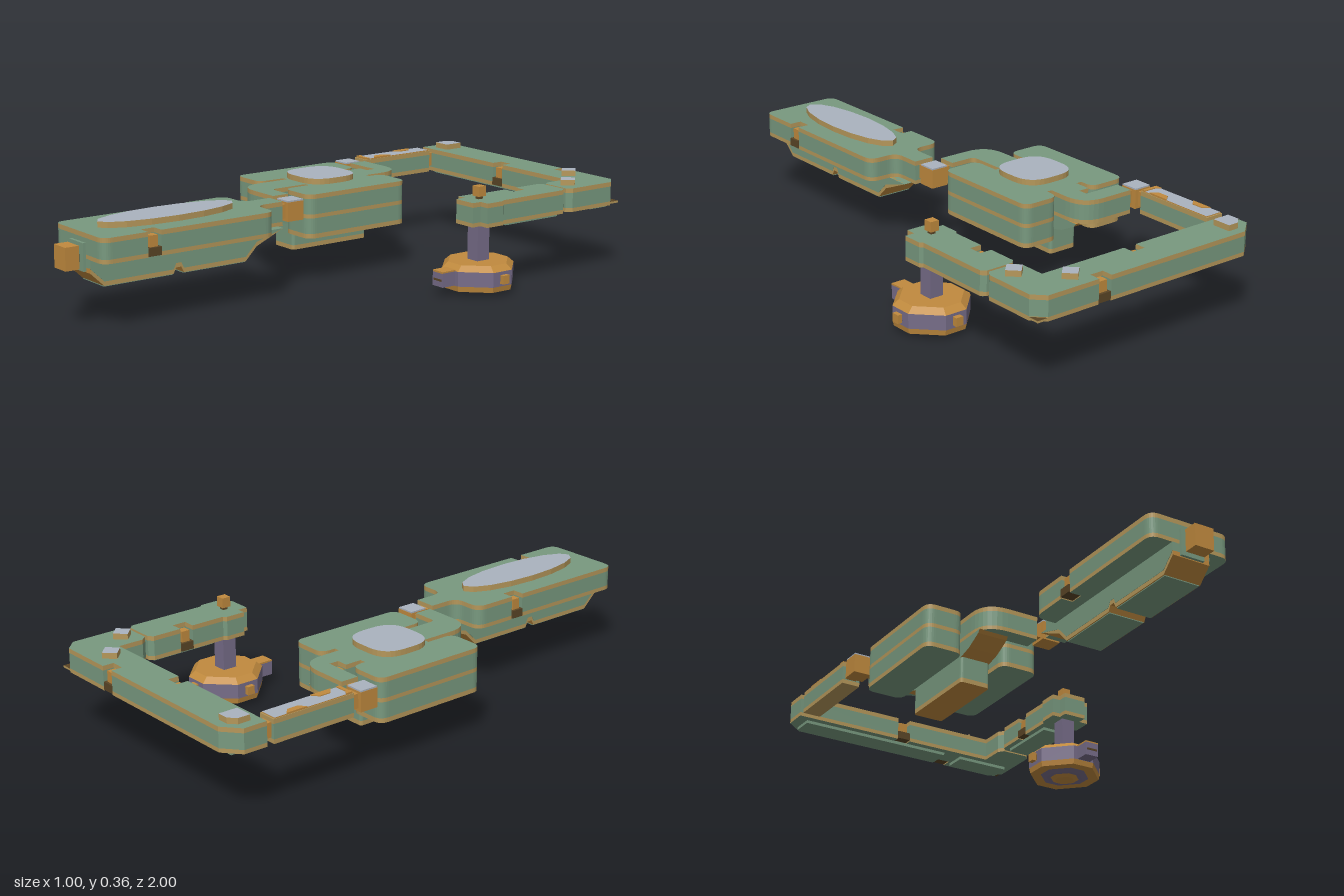
import * as THREE from 'three';

const mat = (name, color) => Object.assign(new THREE.MeshStandardMaterial({ color }), { name });
const green = mat('sage green', 0x78997f);
const tan = mat('tan trim', 0xb5975a);
const gold = mat('ochre gold', 0xc08a3e);
const grey = mat('blue grey', 0xaab2be);
const purple = mat('dusty purple', 0x766c88);
const dark = mat('dark brown', 0x5a4526);

export function createModel() {
  const root = new THREE.Group();
  root.name = 'linkedArm';
  const TOP = 0.315;

  const add = (name, geo, material, x = 0, y = 0, z = 0, parent = root) => {
    const m = new THREE.Mesh(geo, material);
    m.name = name;
    m.position.set(x, y, z);
    parent.add(m);
    return m;
  };

  // Box from its limits
  const box = (name, x0, x1, y0, y1, z0, z1, material) =>
    add(name, new THREE.BoxGeometry(x1 - x0, y1 - y0, z1 - z0), material,
      (x0 + x1) / 2, (y0 + y1) / 2, (z0 + z1) / 2);

  // Plan outline from [x, z, cornerRadius] points
  const outline = (pts) => {
    const s = new THREE.Shape();
    const v = pts.map((p) => new THREE.Vector2(p[0], -p[1]));
    v.forEach((p, i) => {
      const r = pts[i][2] || 0;
      const toward = (q) => q.clone().sub(p).setLength(r).add(p);
      const a = toward(v[(i + v.length - 1) % v.length]);
      const b = toward(v[(i + 1) % v.length]);
      if (i === 0) s.moveTo(a.x, a.y); else s.lineTo(a.x, a.y);
      if (r) s.quadraticCurveTo(p.x, p.y, b.x, b.y);
    });
    s.closePath();
    return s;
  };
  const rect = (x0, x1, z0, z1, r) => [[x0, z0, r], [x1, z0, r], [x1, z1, r], [x0, z1, r]];

  // Flat layer standing between two heights, caps and sides coloured apart
  const layer = (name, shape, y0, y1, cap, side, parent) => {
    const g = new THREE.ExtrudeGeometry(shape, { depth: y1 - y0, bevelEnabled: false, curveSegments: 8 });
    return add(name, g.rotateX(-Math.PI / 2), [cap, side], 0, y0, 0, parent);
  };

  // Slab with trim bands; a deeper bottom gets its own trim
  const slab = (name, pts, bottom = 0.231, under = green, top = TOP) => {
    const g = new THREE.Group();
    g.name = name;
    root.add(g);
    const s = outline(pts);
    if (top === TOP) {
      layer('topTrim', s, 0.299, TOP, green, tan, g);
      layer('upperWall', s, 0.245, 0.299, green, green, g);
      layer('middleTrim', s, 0.231, 0.245, green, tan, g);
      top = 0.231;
    }
    if (bottom < top) {
      layer('lowerWall', s, bottom + 0.016, top, green, green, g);
      layer('bottomTrim', s, bottom, bottom + 0.016, under, tan, g);
    }
  };

  // Side profile of [z, y] points swept across x
  const prism = (name, x0, x1, pts, caps, sides) => {
    const s = new THREE.Shape(pts.map((p) => new THREE.Vector2(p[0], p[1])));
    const g = new THREE.ExtrudeGeometry(s, { depth: x1 - x0, bevelEnabled: false });
    add(name, g.rotateY(-Math.PI / 2), [caps, sides], x1);
  };

  // Small latch sitting in a notch
  const latch = (x, z) => {
    box('latchSocket', x - 0.024, x + 0.024, 0.234, 0.262, z - 0.024, z + 0.024, dark);
    box('latch', x - 0.015, x + 0.015, 0.25, 0.3, z - 0.015, z + 0.015, gold);
  };

  // Front block with side notches and a flared neck
  slab('frontBlock', [
    [-0.2, 0.93, 0.035], [-0.2, 0.48], [-0.157, 0.48], [-0.157, 0.43], [-0.2, 0.43],
    [-0.2, 0.27, 0.04], [-0.088, 0.27, 0.04], [-0.088, 0.16], [-0.012, 0.16], [-0.012, 0.27, 0.04],
    [0.1, 0.27, 0.04], [0.1, 0.715], [0.057, 0.715], [0.057, 0.765], [0.1, 0.765], [0.1, 0.93, 0.035],
  ]);
  latch(-0.18, 0.455);
  latch(0.08, 0.74);
  const keel = (d) => [[0.93, 0.232], [0.93, 0.187 + d], [0.88, 0.14 + d], [0.62, 0.14 + d], [0.61, 0.16 + d],
    [0.59, 0.16 + d], [0.58, 0.14 + d], [0.335, 0.14 + d], [0.29, 0.185 + d], [0.18, 0.232]];
  prism('keelTrim', -0.119, 0.019, keel(0), tan, gold);
  prism('keel', -0.12, 0.02, keel(0.015), green, green);
  box('keelPlate', -0.115, 0.015, 0.137, 0.141, 0.62, 0.88, green);
  box('keelPlate', -0.115, 0.015, 0.137, 0.141, 0.335, 0.58, green);
  box('noseFrame', -0.092, -0.006, 0.19, 0.283, 0.92, 0.94, green);
  box('noseNeck', -0.07, -0.03, 0.21, 0.265, 0.93, 0.96, dark);
  box('nose', -0.084, -0.014, 0.198, 0.275, 0.95, 1, gold);

  // Middle block: two side columns, a web and an S-shaped link through them
  slab('leftColumn', rect(-0.18, -0.04, -0.4, 0.03, 0.035), 0.16);
  slab('rightColumn', rect(-0.472, -0.332, -0.4, 0.03, 0.035), 0.16);
  slab('web', rect(-0.34, -0.17, -0.345, -0.075, 0));
  slab('sLink', [
    [-0.41, -0.505], [-0.2, -0.505, 0.09], [-0.2, 0.07, 0.02], [-0.105, 0.07], [-0.105, 0.133],
    [-0.31, 0.133, 0.09], [-0.31, -0.405], [-0.27, -0.405], [-0.27, -0.44], [-0.41, -0.44],
  ]);
  latch(-0.292, -0.426);
  latch(-0.222, 0.062);
  slab('lowerTank', rect(-0.31, -0.2, -0.345, -0.02, 0.012), 0.085, gold, 0.232);
  prism('frontRamp', -0.31, -0.2, [[-0.03, 0.232], [-0.03, 0.175], [0.03, 0.19], [0.09, 0.22], [0.1, 0.232]], green, gold);
  prism('backRamp', -0.31, -0.2, [[-0.335, 0.232], [-0.335, 0.175], [-0.4, 0.19], [-0.46, 0.22], [-0.47, 0.232]], green, gold);

  // Swivel joints between the blocks
  const joint = (x, z) => {
    box('joint', x - 0.033, x + 0.033, 0.24, 0.307, z - 0.033, z + 0.033, gold);
    box('jointCap', x - 0.032, x + 0.032, 0.306, 0.312, z - 0.032, z + 0.032, grey);
  };
  joint(-0.05, 0.102);
  joint(-0.468, -0.47);
  box('jointPin', -0.11, -0.08, 0.25, 0.3, 0.085, 0.12, gold);
  box('jointPin', -0.07, -0.03, 0.25, 0.3, 0.13, 0.165, gold);
  box('jointPin', -0.44, -0.405, 0.25, 0.3, -0.485, -0.455, gold);

  // Short side link with a patched top
  box('linkPin', -0.488, -0.448, 0.25, 0.3, -0.87, -0.5, gold);
  box('sideLink', -0.5, -0.433, 0.232, 0.247, -0.84, -0.53, tan);
  box('sideLinkWall', -0.5, -0.433, 0.247, 0.297, -0.84, -0.53, green);
  box('sideLinkTrim', -0.5, -0.433, 0.297, 0.313, -0.84, -0.53, tan);
  layer('sideLinkTop', outline(rect(-0.498, -0.435, -0.835, -0.535, 0)), 0.312, 0.316, grey, gold);
  layer('patch', outline([[-0.498, -0.79], [-0.475, -0.77], [-0.475, -0.73], [-0.498, -0.71]]), 0.315, 0.319, gold, gold);
  layer('patch', outline([[-0.435, -0.65], [-0.46, -0.63], [-0.46, -0.59], [-0.435, -0.57]]), 0.315, 0.319, gold, gold);
  layer('patch', outline([[-0.498, -0.56], [-0.48, -0.548], [-0.435, -0.548], [-0.435, -0.535], [-0.498, -0.535]]), 0.315, 0.319, gold, gold);

  // Back beam turning the corner
  slab('backBeam', [
    [-0.5, -0.865], [-0.5, -0.95], [-0.44, -1], [0.13, -1], [0.13, -0.96], [0.18, -0.96], [0.18, -1],
    [0.38, -1], [0.42, -0.96], [0.42, -0.775], [0.405, -0.755], [0.305, -0.755], [0.29, -0.775],
    [0.29, -0.865], [-0.045, -0.865], [-0.045, -0.905], [-0.095, -0.905], [-0.095, -0.865],
  ]);
  latch(-0.07, -0.885);
  latch(0.155, -0.976);
  layer('cornerPlate', outline([[0.36, -1], [0.42, -1], [0.42, -0.94]]), 0.236, 0.243, dark, tan);
  box('beamUnderplate', -0.46, 0.12, 0.22, 0.232, -0.97, -0.89, green);
  box('beamUnderplate', 0.19, 0.39, 0.22, 0.232, -0.97, -0.89, green);

  // Arm end carrying the hanging rod
  box('armPin', 0.325, 0.385, 0.25, 0.305, -0.77, -0.73, gold);
  slab('armEnd', [
    [0.305, -0.745], [0.405, -0.745], [0.42, -0.73], [0.42, -0.45], [0.43, -0.44], [0.43, -0.37],
    [0.395, -0.37], [0.395, -0.335], [0.31, -0.335], [0.31, -0.37], [0.28, -0.37], [0.28, -0.44],
    [0.29, -0.45], [0.29, -0.575], [0.333, -0.575], [0.333, -0.625], [0.29, -0.625], [0.29, -0.73],
  ]);
  latch(0.31, -0.6);
  box('armUnderplate', 0.31, 0.4, 0.22, 0.232, -0.72, -0.48, green);

  // Raised plates on top
  const plate = (name, shape) => layer(name, shape, 0.31, 0.335, grey, tan);
  const oval = new THREE.Shape();
  oval.absellipse(-0.05, -0.6, 0.077, 0.26, 0, Math.PI * 2);
  plate('ovalPlate', oval);
  plate('squarePlate', outline(rect(-0.365, -0.153, -0.288, -0.08, 0.085)));
  plate('cornerMark', outline([[-0.465, -0.9], [-0.465, -0.945], [-0.44, -0.968], [-0.4, -0.968], [-0.4, -0.9]]));
  for (const [x, z] of [[0.235, -0.932], [0.355, -0.812]]) {
    plate('diamondMark', outline([[x - 0.035, z], [x, z - 0.035], [x + 0.035, z], [x, z + 0.035]]));
  }

  // Hanging rod with its top knob
  const hx = 0.35, hz = -0.402;
  box('rod', hx - 0.026, hx + 0.026, 0.09, 0.245, hz - 0.026, hz + 0.026, purple);
  box('knobStem', hx - 0.009, hx + 0.009, 0.31, 0.33, hz - 0.009, hz + 0.009, dark);
  box('knob', hx - 0.016, hx + 0.016, 0.325, 0.36, hz - 0.016, hz + 0.016, gold);

  // Eight-sided head: rings of half-width, joined by flat bands
  const ring = (w) => {
    const c = w * 0.33;
    return [[c, w], [w, c], [w, -c], [c, -w], [-c, -w], [-w, -c], [-w, c], [-c, w]];
  };
  const band = (name, y0, w0, y1, w1, material) => {
    const a = ring(w0), b = ring(w1), pos = [];
    const quad = (p, q, r, s) => pos.push(...p, ...q, ...r, ...p, ...r, ...s);
    const at = (p, y) => [p[0], y, p[1]];
    for (let i = 0; i < 8; i++) {
      const j = (i + 1) % 8;
      quad(at(a[i], y0), at(a[j], y0), at(b[j], y1), at(b[i], y1));
      pos.push(0, y1, 0, ...at(b[i], y1), ...at(b[j], y1));
      pos.push(0, y0, 0, ...at(a[j], y0), ...at(a[i], y0));
    }
    const g = new THREE.BufferGeometry();
    g.setAttribute('position', new THREE.Float32BufferAttribute(pos, 3));
    g.computeVertexNormals();
    add(name, g, material, hx, 0, hz);
  };
  band('headTop', 0.085, 0.126, 0.104, 0.105, gold);
  band('headBody', 0.034, 0.126, 0.085, 0.126, purple);
  band('headTrim', 0.015, 0.122, 0.034, 0.126, gold);
  band('headStep', 0.008, 0.065, 0.015, 0.085, purple);
  band('headFoot', 0, 0.035, 0.008, 0.05, gold);

  // Head spout and side studs
  box('spout', hx - 0.026, hx + 0.026, 0.035, 0.084, -0.28, -0.222, purple);
  box('spoutTop', hx - 0.026, hx + 0.026, 0.083, 0.089, -0.28, -0.222, gold);
  box('spoutSlot', hx - 0.02, hx + 0.02, 0.055, 0.062, -0.223, -0.22, dark);
  for (const s of [-1, 1]) {
    box('studStem', hx + s * 0.13 - 0.008, hx + s * 0.13 + 0.008, 0.05, 0.07, hz - 0.01, hz + 0.01, dark);
    box('stud', hx + s * 0.138 - 0.008, hx + s * 0.138 + 0.008, 0.045, 0.075, hz - 0.014, hz + 0.014, gold);
  }
  box('backStud', hx - 0.014, hx + 0.014, 0.045, 0.075, -0.546, -0.52, gold);
  return root;
}
